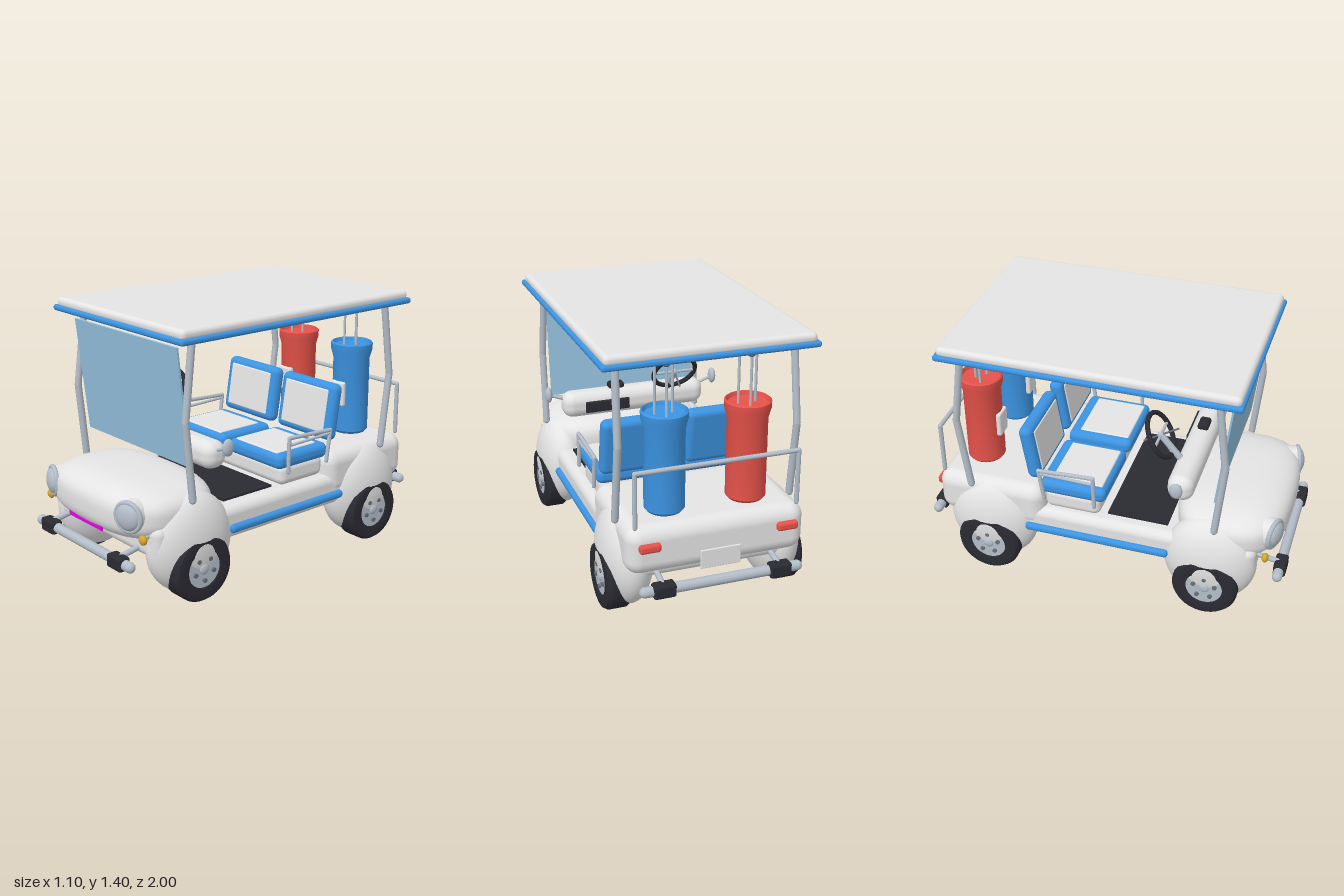
import * as THREE from 'three';
import { toCreasedNormals } from 'three/addons/utils/BufferGeometryUtils.js';
import { RoundedBoxGeometry } from 'three/addons/geometries/RoundedBoxGeometry.js';

const mat = (name, color) => {
  const m = new THREE.MeshStandardMaterial({ color });
  m.name = name;
  return m;
};
const V = (x, y, z) => new THREE.Vector3(x, y, z);

export function createModel() {
  const white = mat('white paint', 0xe4e4e4), blue = mat('blue', 0x3c94e2), red = mat('red', 0xe6524a);
  const black = mat('black rubber', 0x2a2a32), silver = mat('silver', 0xb4bec9), steel = mat('dark steel', 0x6a6f78);
  const amber = mat('amber', 0xd6a52a), magenta = mat('magenta', 0xff00ff), glass = mat('tinted glass', 0x93c1de);

  const cart = new THREE.Group();
  cart.name = 'golfCart';
  const add = (name, geo, material, pos = [0, 0, 0], parent = cart) => {
    const m = new THREE.Mesh(geo, material);
    m.name = name;
    m.position.set(...pos);
    parent.add(m);
    return m;
  };
  const group = (name, pos = [0, 0, 0]) => {
    const g = new THREE.Group();
    g.name = name;
    g.position.set(...pos);
    cart.add(g);
    return g;
  };
  const rbox = (w, h, d, r) => new RoundedBoxGeometry(w, h, d, 5, r);

  // Superellipsoid: a sphere pushed towards a box as n grows
  const blob = (rx, ry, rz, n = 2) => {
    const g = new THREE.SphereGeometry(1, 48, 32), p = g.attributes.position, nor = g.attributes.normal;
    const v = V(0, 0, 0), k = V(0, 0, 0), f = (a) => Math.sign(a) * Math.abs(a) ** (n - 1);
    for (let i = 0; i < p.count; i++) {
      v.fromBufferAttribute(p, i);
      v.multiplyScalar((Math.abs(v.x) ** n + Math.abs(v.y) ** n + Math.abs(v.z) ** n) ** (-1 / n));
      k.set(f(v.x) / rx, f(v.y) / ry, f(v.z) / rz).normalize();
      p.setXYZ(i, v.x * rx, v.y * ry, v.z * rz);
      nor.setXYZ(i, k.x, k.y, k.z);
    }
    return g;
  };

  // Chain of rods with round joints
  const rod = (name, pts, r, material, parent = cart) => {
    const g = new THREE.Group();
    g.name = name;
    parent.add(g);
    pts.forEach((a, i) => {
      add(name + 'Joint', new THREE.SphereGeometry(r, 12, 8), material, a.toArray(), g);
      if (!i) return;
      const b = pts[i - 1], d = a.clone().sub(b);
      const m = add(name + 'Rod', new THREE.CylinderGeometry(r, r, d.length(), 12), material,
        a.clone().add(b).multiplyScalar(0.5).toArray(), g);
      m.quaternion.setFromUnitVectors(V(0, 1, 0), d.normalize());
    });
    return g;
  };

  // Body shell
  add('hood', blob(0.46, 0.145, 0.3, 3), white, [0, 0.455, 0.67]);
  add('chassis', rbox(0.92, 0.18, 1.7, 0.05), white, [0, 0.34, 0]);
  add('rearBody', rbox(0.93, 0.255, 0.61, 0.075), white, [0, 0.4275, -0.61]);
  add('seatBase', rbox(0.84, 0.12, 0.31, 0.04), white, [0, 0.49, -0.155]);
  add('floorMat', new THREE.BoxGeometry(0.76, 0.012, 0.33), black, [0, 0.438, 0.2]);

  // Canopy roof
  add('roof', rbox(1.07, 0.055, 1.545, 0.025), white, [0, 1.3725, -0.035]);
  add('roofRim', rbox(1.1, 0.032, 1.57, 0.014), blue, [0, 1.344, -0.035]);

  // Windshield
  const ws = add('windshield', new THREE.BoxGeometry(0.865, 0.61, 0.01), glass, [0, 0.992, 0.652]);
  ws.rotation.x = Math.atan2(0.068, 0.605);

  // Dashboard
  add('dashboard', rbox(0.84, 0.145, 0.14, 0.06), white, [0, 0.697, 0.425]);
  add('gloveBox', rbox(0.26, 0.065, 0.02, 0.008), black, [0.17, 0.69, 0.355]);
  add('dashPad', rbox(0.09, 0.04, 0.06, 0.015), black, [0.1, 0.78, 0.43]);

  // Steering wheel
  const tilt = group('steering', [-0.2, 0.877, 0.268]);
  const normal = V(0, 0.53, 0.85).normalize(), up = V(0, 0.85, -0.53).normalize();
  const wheel = add('steeringWheel', new THREE.TorusGeometry(0.122, 0.013, 12, 36), black, [0, 0, 0], tilt);
  wheel.quaternion.setFromUnitVectors(V(0, 0, 1), normal);
  rod('spoke', [V(-0.12, 0, 0), V(0.12, 0, 0)], 0.008, silver, tilt);
  rod('spoke', [V(0, 0, 0), up.clone().multiplyScalar(-0.12)], 0.008, silver, tilt);
  rod('stalk', [normal.clone().multiplyScalar(-0.105), normal.clone().multiplyScalar(0.11)], 0.005, steel, tilt);
  rod('column', [V(0, 0, 0), V(0, -0.14, 0.12)], 0.018, silver, tilt);

  // Grille strip
  const smile = new THREE.Shape();
  smile.moveTo(-0.145, 0.355);
  smile.lineTo(0.145, 0.355);
  smile.lineTo(0.145, 0.386);
  smile.quadraticCurveTo(0, 0.352, -0.145, 0.386);
  add('grille', new THREE.ExtrudeGeometry(smile, { depth: 0.008, bevelEnabled: false }), magenta, [0, 0, 0.944]);

  // Bumpers and tail plate
  for (const [name, z] of [['frontBumper', 0.965], ['rearBumper', -0.962]]) {
    rod(name, [V(-0.4, 0.25, z), V(0.4, 0.25, z)], 0.027, silver);
    for (const x of [-0.303, 0.303]) {
      add(name + 'Pad', rbox(0.115, 0.072, 0.066, 0.014), black, [x, 0.25, z + Math.sign(z) * 0.002]);
      rod(name + 'Bracket', [V(x, 0.27, z), V(x, 0.3, z - Math.sign(z) * 0.16)], 0.015, silver);
    }
  }
  add('numberPlate', rbox(0.21, 0.1, 0.01, 0.004), white, [0, 0.36, -0.935]);
  rod('rearRail', [V(-0.42, 0.56, -0.883), V(-0.42, 0.84, -0.883), V(0.42, 0.84, -0.883), V(0.42, 0.56, -0.883)], 0.012, silver);

  // Tyre profile revolved around the axle
  const tyreGeo = toCreasedNormals(new THREE.LatheGeometry([
    [0.095, -0.06], [0.14, -0.07], [0.163, -0.064], [0.176, -0.045], [0.176, 0.045],
    [0.163, 0.064], [0.14, 0.07], [0.1, 0.064], [0.095, 0.045],
  ].map(([r, h]) => new THREE.Vector2(r, h)), 40), 0.5);
  const addWheel = (s, z) => {
    const g = group('wheel', [s * 0.46, 0.178, z]);
    g.rotation.z = -s * Math.PI / 2;
    add('tyre', tyreGeo, black, [0, 0, 0], g);
    add('rim', new THREE.CylinderGeometry(0.1, 0.1, 0.11, 36), silver, [0, 0.003, 0], g);
    add('hubCap', new THREE.SphereGeometry(0.028, 16, 8).scale(1, 0.4, 1), silver, [0, 0.06, 0], g);
    for (let i = 0; i < 5; i++) {
      const a = i / 5 * Math.PI * 2;
      add('wheelNut', new THREE.CylinderGeometry(0.012, 0.012, 0.014, 10), steel,
        [Math.cos(a) * 0.06, 0.062, Math.sin(a) * 0.06], g);
    }
  };

  // Parts mirrored left and right
  for (const s of [1, -1]) {
    for (const z of [0.604, -0.615]) {
      addWheel(s, z);
      add('fender', blob(0.135, 0.262, 0.25), white, [s * 0.395, 0.29, z]);
    }
    add('sideStripe', rbox(0.06, 0.045, 0.8, 0.02), blue, [s * 0.455, 0.3125, -0.01]);

    // Roof posts
    rod('frontPost', [V(s * 0.455, 1.335, 0.617), V(s * 0.463, 0.93, 0.668), V(s * 0.465, 0.53, 0.63)], 0.019, silver);
    rod('rearPost', [V(s * 0.455, 1.335, -0.71), V(s * 0.463, 0.93, -0.762), V(s * 0.465, 0.53, -0.71)], 0.019, silver);

    // Mirror
    add('mirror', blob(0.02, 0.045, 0.034), silver, [s * 0.495, 0.765, 0.43]);
    rod('mirrorArm', [V(s * 0.38, 0.72, 0.43), V(s * 0.49, 0.76, 0.43)], 0.008, silver);

    // Headlight and indicator
    const lamp = group('headlight', [s * 0.335, 0.48, 0.922]);
    lamp.rotation.y = s * 0.3;
    add('lampHousing', new THREE.CylinderGeometry(0.08, 0.08, 0.08, 32).rotateX(Math.PI / 2), white, [0, 0, -0.04], lamp);
    add('lampRim', new THREE.TorusGeometry(0.073, 0.013, 12, 36), silver, [0, 0, 0], lamp);
    add('lampLens', blob(0.07, 0.07, 0.035), silver, [0, 0, 0.002], lamp);
    add('indicator', blob(0.025, 0.025, 0.018), amber, [s * 0.413, 0.377, 0.895]);
    rod('indicatorStem', [V(s * 0.413, 0.377, 0.89), V(s * 0.38, 0.38, 0.82)], 0.01, silver);

    // Tail lamps
    add('tailLight', rbox(0.11, 0.045, 0.04, 0.015), red, [s * 0.357, 0.46, -0.92]);
    add('sideMarker', new THREE.SphereGeometry(0.01, 10, 8), blue, [s * 0.445, 0.325, -0.83]);

    // Seat with inset pads
    add('seatCushion', rbox(0.415, 0.085, 0.365, 0.035), blue, [s * 0.23, 0.573, -0.148]);
    add('seatPad', rbox(0.33, 0.02, 0.28, 0.008), white, [s * 0.23, 0.612, -0.13]);
    const back = group('seatBack', [s * 0.23, 0.768, -0.38]);
    back.rotation.x = -0.16;
    add('backCushion', rbox(0.415, 0.31, 0.075, 0.034), blue, [0, 0, 0], back);
    add('backPad', rbox(0.33, 0.24, 0.02, 0.008), white, [0, 0, 0.033], back);

    // Armrest
    rod('armrest', [V(s * 0.45, 0.52, -0.02), V(s * 0.45, 0.705, -0.025), V(s * 0.45, 0.69, -0.325), V(s * 0.45, 0.52, -0.3)], 0.011, silver);
    rod('armrestRail', [V(s * 0.45, 0.665, -0.025), V(s * 0.45, 0.672, -0.318)], 0.008, silver);

    // Golf bag with clubs
    const bag = group('golfBag', [s * 0.215, 0.555, -0.72]);
    const profile = [[0, 0], [0.09, 0], [0.102, 0.015], [0.102, 0.43], [0.116, 0.48], [0.117, 0.515], [0.108, 0.522], [0.1, 0.5], [0, 0.49]];
    add('bagShell', toCreasedNormals(new THREE.LatheGeometry(profile.map(([r, h]) => new THREE.Vector2(r, h)), 36), 0.6),
      s > 0 ? blue : red, [0, 0, 0], bag);
    add('bagPocket', rbox(0.1, 0.14, 0.03, 0.012), white, [0, 0.235, 0.1], bag);
    for (const [x, z] of [[-0.045, 0.015], [0, -0.03], [0.045, 0.015]]) {
      rod('clubShaft', [V(x, 0.4, z), V(x, 0.755, z)], 0.007, silver, bag);
      add('clubHead', blob(0.018, 0.018, 0.035), steel, [x, 0.757, z + 0.015], bag);
    }
  }
  return cart;
}
